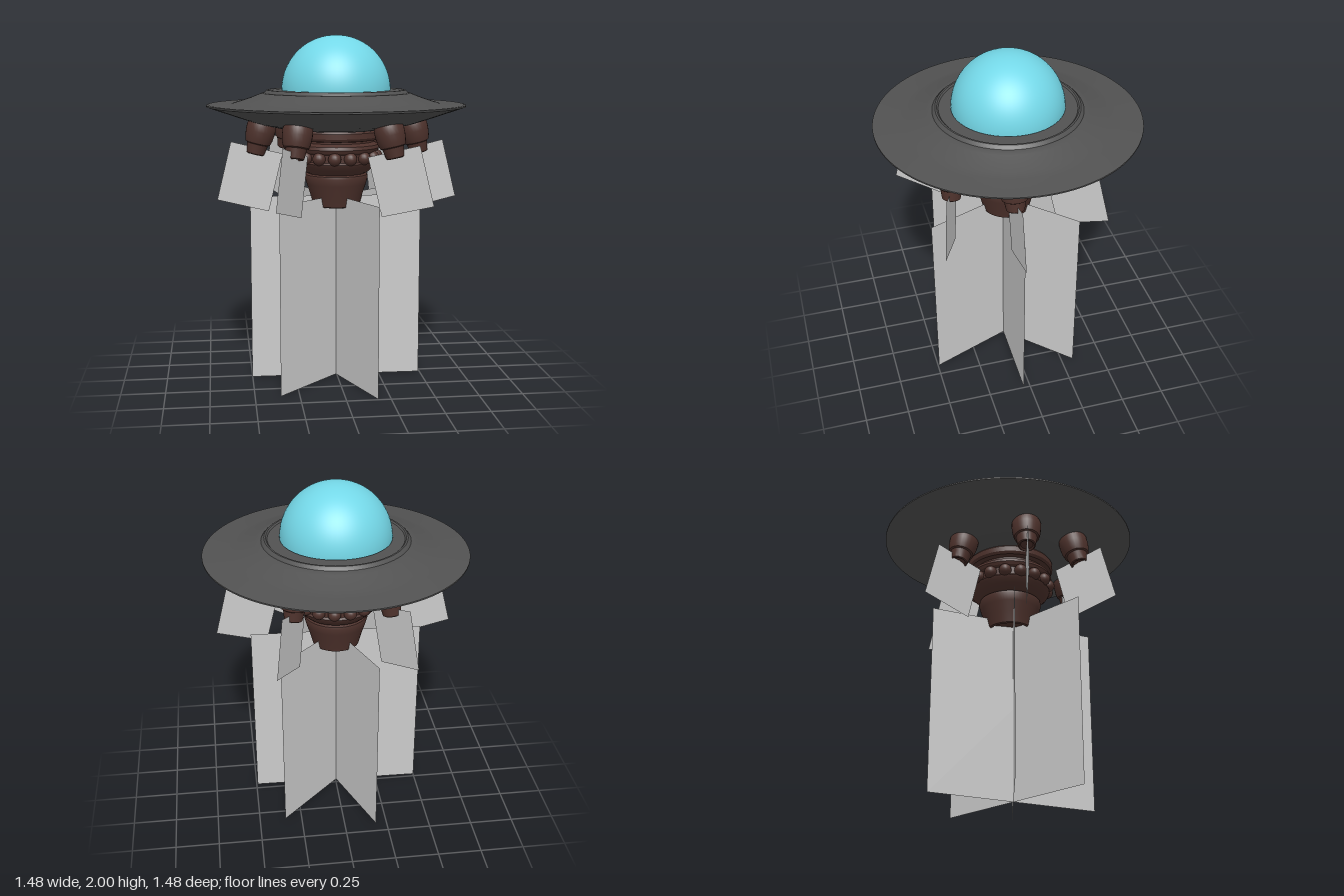
import * as THREE from 'three';
import { toCreasedNormals } from 'three/addons/utils/BufferGeometryUtils.js';

const mat = (color, side = THREE.FrontSide) =>
  new THREE.MeshStandardMaterial({ color, side });
const hullGrey = mat(0x525252);
const brown = mat(0x4e322c);
const glass = mat(0x74d8e8);
const plain = mat(0xcccccc, THREE.DoubleSide);

// Revolved part; the profile runs from bottom to top as [radius, y]
function lathe(name, profile, material, segments) {
  const points = profile.map(([r, y]) => new THREE.Vector2(r, y));
  const geometry = toCreasedNormals(new THREE.LatheGeometry(points, segments), 0.5);
  const mesh = new THREE.Mesh(geometry, material);
  mesh.name = name;
  return mesh;
}

function panel(name, width, height) {
  const mesh = new THREE.Mesh(new THREE.PlaneGeometry(width, height), plain);
  mesh.name = name;
  return mesh;
}

// Small nozzle with its flame panel, leaning outward along its yaw direction
function createThruster(x, z, yaw) {
  const thruster = new THREE.Group();
  thruster.name = 'thruster';
  thruster.add(lathe('thrusterNozzle', [
    [0, -0.075], [0.035, -0.08], [0.043, -0.09], [0.05, -0.085], [0.056, -0.05],
    [0.06, -0.03], [0.07, -0.025], [0.078, 0], [0.083, 0.04],
    [0.083, 0.075], [0.076, 0.095], [0.06, 0.105], [0, 0.108],
  ], brown, 28));
  const flame = panel('thrusterFlame', 0.3, 0.34);
  flame.position.y = -0.222;
  thruster.add(flame);
  thruster.position.set(x, 1.42, z);
  // Yaw is measured from +x towards +z
  thruster.rotation.set(0, -THREE.MathUtils.degToRad(yaw), 0.24);
  thruster.rotation.order = 'YXZ';
  return thruster;
}

export function createModel() {
  const model = new THREE.Group();
  model.name = 'flyingSaucer';

  // Disc with a thin rim and a stepped collar below the dome
  model.add(lathe('saucerHull', [
    [0, 1.46], [0.24, 1.462], [0.34, 1.475], [0.45, 1.5], [0.55, 1.532],
    [0.65, 1.566], [0.72, 1.59], [0.742, 1.598], [0.742, 1.606], [0.73, 1.609],
    [0.6, 1.612], [0.55, 1.627], [0.5, 1.643], [0.45, 1.662], [0.425, 1.672],
    [0.415, 1.672], [0.408, 1.681], [0.398, 1.69], [0.388, 1.69],
    [0.38, 1.682], [0, 1.682],
  ], hullGrey, 96));

  // Dome
  const dome = new THREE.Mesh(
    new THREE.SphereGeometry(0.313, 64, 24, 0, Math.PI * 2, 0, Math.PI / 2), glass);
  dome.name = 'dome';
  dome.position.y = 1.687;
  model.add(dome);

  // Main engine: collar, studded band, bowl and nozzle cup
  const engine = new THREE.Group();
  engine.name = 'mainEngine';
  engine.position.z = 0.012;
  engine.add(lathe('engineBody', [
    [0, 1.05], [0.1, 1.04], [0.125, 1.02], [0.135, 1.025], [0.152, 1.09],
    [0.172, 1.15], [0.183, 1.19], [0.18, 1.205], [0.165, 1.212], [0.185, 1.222],
    [0.21, 1.245], [0.228, 1.265], [0.235, 1.28], [0.225, 1.29], [0.225, 1.335],
    [0.24, 1.345], [0.248, 1.362], [0.242, 1.38], [0.215, 1.395], [0.215, 1.405],
    [0.245, 1.41], [0.255, 1.425], [0.255, 1.455], [0.24, 1.475], [0, 1.475],
  ], brown, 64));
  const studGeometry = new THREE.SphereGeometry(0.037, 16, 12);
  for (let i = 0; i < 16; i++) {
    const a = ((i + 0.4) / 16) * Math.PI * 2;
    const stud = new THREE.Mesh(studGeometry, brown);
    stud.name = 'engineStud';
    stud.position.set(0.23 * Math.cos(a), 1.312, 0.23 * Math.sin(a));
    engine.add(stud);
  }
  model.add(engine);

  // Six thrusters around the engine: x, z, yaw
  for (const [x, z, yaw] of [
    [0.26, 0.385, 23], [-0.26, 0.385, 122], [-0.45, 0.09, 180],
    [-0.26, -0.275, 235], [0.26, -0.275, -60], [0.45, 0.09, 0],
  ]) model.add(createThruster(x, z, yaw));

  // Main exhaust: three crossing panels
  for (const yaw of [1, 68.5, 135]) {
    const flame = panel('mainFlame', 0.995, 1.08);
    flame.position.set(-0.004, 0.54, 0.03);
    flame.rotation.y = -THREE.MathUtils.degToRad(yaw);
    model.add(flame);
  }
  return model;
}
